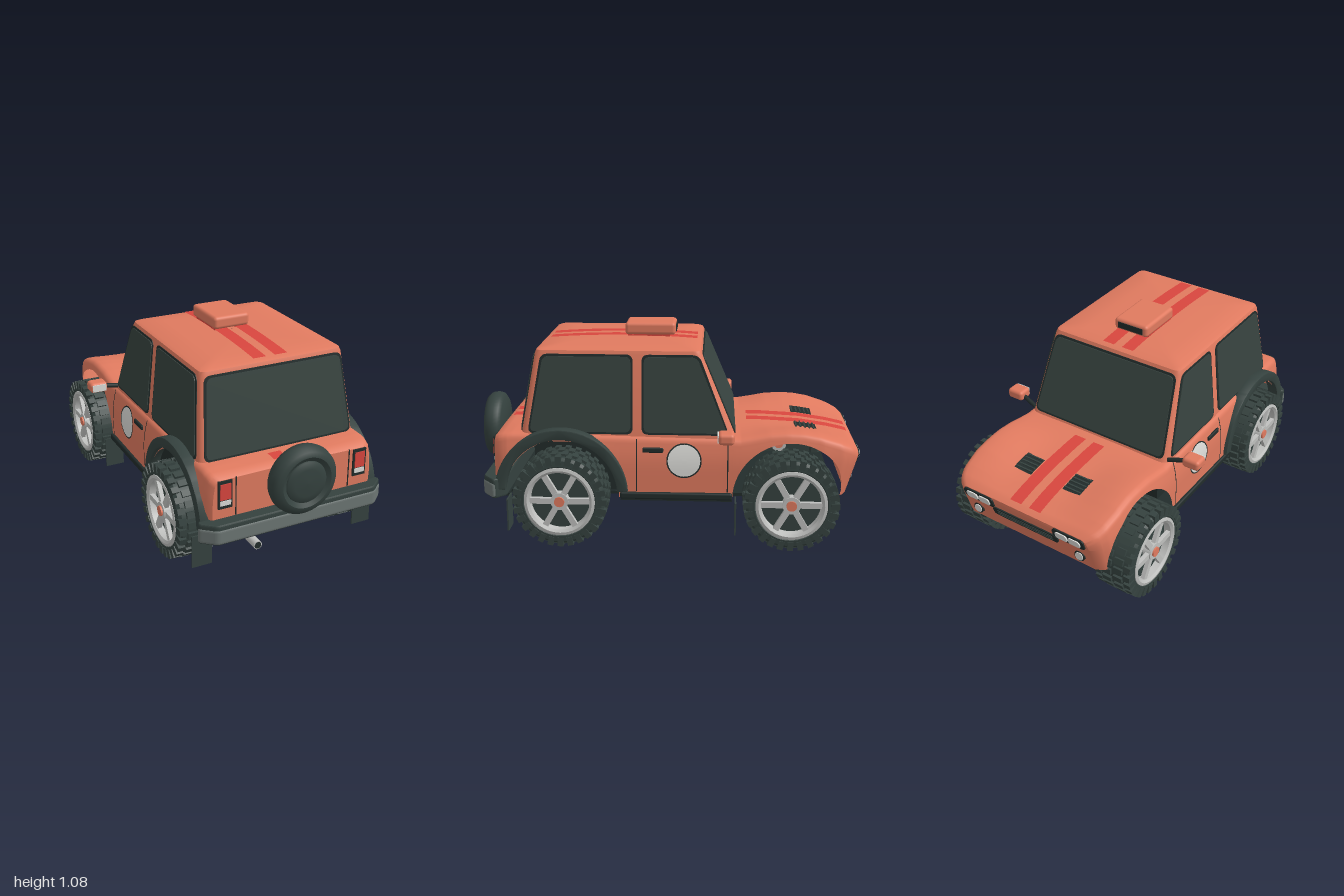
import * as THREE from 'three';
import { mergeGeometries, toCreasedNormals } from 'three/addons/utils/BufferGeometryUtils.js';
import { RoundedBoxGeometry } from 'three/addons/geometries/RoundedBoxGeometry.js';

const mat = (name, color) => new THREE.MeshStandardMaterial({ name, color, side: THREE.DoubleSide });
const paint = mat('coral paint', 0xe07a5f), red = mat('red stripe', 0xd8463e), glass = mat('dark glass', 0x37433f),
  rubber = mat('rubber', 0x35423f), black = mat('black trim', 0x222c2b), white = mat('lamp white', 0xdcdcd8),
  silver = mat('silver', 0xbfc0be), grey = mat('bumper grey', 0x6c7573);

const clamp = THREE.MathUtils.clamp, lerp = THREE.MathUtils.lerp;
// Piecewise lookup along z, keys in descending order
const table = (t) => (z) => {
  if (z >= t[0][0]) return t[0][1];
  for (let i = 1; i < t.length; i++)
    if (z >= t[i][0]) return lerp(t[i][1], t[i - 1][1], (z - t[i][0]) / (t[i - 1][0] - t[i][0]));
  return t[t.length - 1][1];
};
const shoulder = table([[.87, .545], [.84, .565], [.78, .574], [.7, .575], [-.3, .562], [-.38, .558], [-.45, .57], [-.53, .586],
  [-.62, .593], [-.7, .59], [-.78, .576], [-.88, .545], [-.95, .515], [-.98, .49]]);
const ridge = table([[.87, .548], [.84, .567], [.7, .575], [-.36, .562], [-.5, .562], [-.7, .552], [-.85, .53], [-.95, .508], [-.98, .49]]);
const halfW = table([[.87, .43], [.855, .452], [.8, .466], [.5, .47], [-.3, .462], [-.45, .466], [-.62, .474], [-.8, .468],
  [-.9, .45], [-.95, .425], [-.98, .385]]);
const REAR = .525, FRONT = -.64, ARCH = .295, HUB = .248;
const sideX = (y, z) => halfW(z) * (1 - .06 * clamp((y - .4) / .17, 0, 1) ** 2);
const topY = (x, z) => lerp(ridge(z), shoulder(z), THREE.MathUtils.smoothstep(Math.abs(x), .12, .4));
const noseZ = (y) => -.98 + .3 * Math.max(0, .47 - y);
const archY = (z) => Math.max(.25, ...[REAR, FRONT].map((c) => .25 + Math.sqrt(Math.max(0, ARCH ** 2 - (z - c) ** 2))));

// Skin over rows of points
function skin(rows, closed, crease = .6) {
  const n = rows[0].length, idx = [];
  for (let i = 0; i < rows.length - 1; i++)
    for (let j = 0; j < (closed ? n : n - 1); j++) {
      const a = i * n + j, b = i * n + (j + 1) % n;
      idx.push(a, b, a + n, b, b + n, a + n);
    }
  const g = new THREE.BufferGeometry();
  g.setAttribute('position', new THREE.Float32BufferAttribute(rows.flat(2), 3));
  g.setIndex(idx);
  return toCreasedNormals(g, crease);
}
// Move every vertex by a rule
function bend(geo, rule) {
  const p = geo.attributes.position;
  for (let i = 0; i < p.count; i++) p.setXYZ(i, ...rule(p.getX(i), p.getY(i), p.getZ(i)));
  geo.computeVertexNormals();
  return geo;
}
// Polygon with rounded corners
function rounded(pts, r) {
  const s = new THREE.Shape(), v = pts.map((p) => new THREE.Vector2(...p));
  v.forEach((c, i) => {
    const toward = (q) => q.clone().sub(c).setLength(r).add(c);
    const a = toward(v[(i + v.length - 1) % v.length]), b = toward(v[(i + 1) % v.length]);
    i ? s.lineTo(a.x, a.y) : s.moveTo(a.x, a.y);
    s.quadraticCurveTo(c.x, c.y, b.x, b.y);
  });
  return s;
}
const rect = (x, y, w, h) => [[x - w / 2, y - h / 2], [x + w / 2, y - h / 2], [x + w / 2, y + h / 2], [x - w / 2, y + h / 2]];
const plate = (pts, r, depth, rule) =>
  bend(new THREE.ExtrudeGeometry(rounded(pts, r), { depth, bevelEnabled: false, curveSegments: 5 }), rule);
const grow = (pts, d) => {
  const cx = pts.reduce((a, p) => a + p[0], 0) / pts.length, cy = pts.reduce((a, p) => a + p[1], 0) / pts.length;
  return pts.map(([x, y]) => [x + d * Math.sign(x - cx), y + d * Math.sign(y - cy)]);
};

export function createModel() {
  const car = new THREE.Group();
  car.name = 'offRoadCar';
  const add = (name, geo, m, x = 0, y = 0, z = 0, parent = car) => {
    const mesh = new THREE.Mesh(geo, m);
    mesh.name = name;
    mesh.position.set(x, y, z);
    parent.add(mesh);
    return mesh;
  };
  const box = (w, h, d, r = 0) => (r ? new RoundedBoxGeometry(w, h, d, 3, r) : new THREE.BoxGeometry(w, h, d));

  // Body shell with open wheel arches
  const zs = [];
  for (let i = 0; i <= 74; i++) zs.push(.87 - i * .025);
  for (const c of [REAR, FRONT]) for (let i = 0; i <= 28; i++) zs.push(c + ARCH * Math.cos(Math.PI * i / 28));
  const section = (z) => {
    const r = .035, T = shoulder(z), end = T - r, B = Math.min(archY(z) + (z < -.93 ? .02 : 0), end), half = [];
    for (let i = 0; i <= 8; i++) { const y = lerp(B, end, i / 8); half.push([sideX(y, z), y]); }
    const ex = sideX(end, z);
    for (let i = 1; i <= 4; i++) { const a = i * Math.PI / 8; half.push([ex - r + r * Math.cos(a), end + r * Math.sin(a)]); }
    for (let i = 1; i <= 10; i++) { const x = (ex - r) * (1 - i / 10); half.push([x, topY(x, z)]); }
    const shear = clamp((-z - .78) / .2, 0, 1);
    const right = half.map(([x, y]) => [x, y, z + shear * .3 * Math.max(0, .47 - y)]);
    return [...right, ...right.slice(0, -1).reverse().map(([x, y, w]) => [-x, y, w])];
  };
  const rows = zs.filter((z) => z > -.98).concat(-.98).sort((a, b) => b - a).map(section);
  const flat = (row) => row.map(([, y, z]) => [0, y, z]);
  add('bodyShell', skin([flat(rows[0]), ...rows, flat(rows[rows.length - 1])], false), paint);

  // Cabin
  const ring = (y, w, z0, z1, r) => rounded(rect(0, (z0 + z1) / 2, 2 * w, z1 - z0), r).getPoints(6).slice(0, -1).map(([...p]) => p)
    .map(([x, z]) => [x, y, z]);
  const levels = [[.54, .432, -.37, .738, .05], [.975, .388, -.186, .657, .04], [.993, .382, -.178, .65, .04],
    [1.001, .365, -.16, .632, .04], [1.009, .25, -.08, .53, .04], [1.015, .1, .05, .4, .03], [1.016, .002, .22, .224, .0005]];
  add('cabin', skin(levels.map((l) => ring(...l)), true), paint);
  const up = (y) => (y - .54) / .435;
  const walls = {
    left: (a, b, d) => [lerp(.432, .388, up(b)) + d, b, a],
    right: (a, b, d) => [-lerp(.432, .388, up(b)) - d, b, a],
    back: (a, b, d) => [a, b, lerp(.738, .657, up(b)) + d],
    front: (a, b, d) => [a, b, lerp(-.37, -.186, up(b)) - d],
  };
  const rearPane = [[.685, .585], [.172, .585], [.172, .965], [.612, .965]];
  const doorPane = [[.105, .585], [-.315, .585], [-.16, .965], [.105, .965]];
  const screen = [[-.395, .585], [.395, .585], [.36, .965], [-.36, .965]];
  const panes = [['left', rearPane], ['left', doorPane], ['right', rearPane], ['right', doorPane], ['back', screen], ['front', screen]];
  for (const [wall, pts] of panes) {
    add(wall + 'WindowSeal', plate(grow(pts, .011), .035, .003, walls[wall]), black);
    add(wall + 'Window', plate(pts, .03, .007, walls[wall]), glass);
  }

  // Red stripes and bonnet vents laid on the upper surfaces
  const lay = (x, z0, z1, w, height) => bend(new THREE.PlaneGeometry(w, z1 - z0, 4, 24),
    (a, b) => [x + a, height(x + a, (z0 + z1) / 2 + b), (z0 + z1) / 2 + b]);
  const roofY = (x, z) => 1.02 - .016 * Math.max(Math.abs(z - .23) / .4, 0) ** 2;
  const lift = (x, z) => topY(x, z) + .006;
  for (const s of [-1, 1]) {
    add('roofStripe', lay(s * .058, -.155, .62, .068, roofY), red);
    add('bonnetStripe', lay(s * .058, -.955, -.42, .068, lift), red);
    add('tailStripe', lay(s * .058, .775, .838, .068, lift), red);
    add('bonnetVent', lay(s * .15, -.785, -.67, .105, lift), black);
    for (let i = 0; i < 5; i++) add('ventSlat', box(.1, .008, .008), rubber, s * .15, topY(.15, -.77 + i * .023) + .008, -.77 + i * .023);
  }

  // Roof scoop
  add('roofScoop', box(.2, .065, .265, .018), paint, 0, 1.053, .092);
  add('scoopMouth', box(.15, .032, .006), black, 0, 1.053, -.042);
  for (const s of [-1, 1]) add('scoopFoot', box(.066, .025, .22), red, s * .058, 1.02, .1);

  // Nose: headlamps, grille, fog lamps
  const onNose = (a, b, d) => [a, b, noseZ(b) - d];
  add('grille', plate(rect(0, .4, .4, .055), .024, .008, onNose), black);
  for (let i = -1; i < 2; i++) add('grilleBar', plate(rect(0, .4 + i * .014, .34, .004), .001, .011, onNose), rubber);
  for (const s of [-1, 1]) {
    add('headlampBezel', plate(rect(s * .275, .456, .185, .062), .02, .008, onNose), black);
    for (const k of [-1, 1]) add('headlamp', plate(rect(s * .275 + k * .038, .456, .068, .044), .016, .014, onNose), white);
    const fog = (r, d) => new THREE.CylinderGeometry(r, r, d, 20).rotateX(Math.PI / 2);
    add('fogLampRim', fog(.03, .02), black, s * .315, .348, noseZ(.348));
    add('fogLamp', fog(.023, .028), white, s * .315, .348, noseZ(.348));
  }

  // Tail: lamps, hatch seams, latch, bumper
  for (const s of [-1, 1]) {
    add('tailLampBezel', box(.072, .142, .014), black, s * .368, .472, .872);
    add('tailLamp', box(.055, .082, .014), red, s * .368, .488, .876);
    add('reverseLamp', box(.055, .024, .014), white, s * .368, .43, .876);
    add('hatchSeam', box(.005, .2, .004), black, s * .31, .45, .871);
  }
  add('hatchLatch', box(.02, .02, .02), silver, .17, .455, .875);
  const plan = [[-.5, .865], [-.43, .925], [.43, .925], [.5, .865], [.45, .815], [-.45, .815]];
  const slab = (pts, h) => new THREE.ExtrudeGeometry(rounded(pts, .015),
    { depth: h, bevelThickness: .012, bevelSize: .006, bevelSegments: 3 }).rotateX(Math.PI / 2);
  add('rearBumper', slab(plan, .08), rubber, 0, .335, 0);
  add('bumperStrip', slab(plan.map(([x, z]) => [x * 1.004, z + .004]), .05), grey, 0, .31, 0);

  // Spare wheel
  const disc = (pts) => new THREE.LatheGeometry(pts.map((p) => new THREE.Vector2(...p)), 48).rotateX(Math.PI / 2);
  add('spareTyre', toCreasedNormals(disc([[0, 0], [.15, 0], [.17, .015], [.177, .04], [.172, .07], [.155, .09], [.13, .095], [.108, .082]]), .7),
    rubber, 0, .5, .9);
  add('spareCover', disc([[.108, .078], [.104, .09], [.07, .097], [0, .1]]), rubber, 0, .5, .9);

  // Side fittings
  for (const s of [-1, 1]) {
    const onSide = (geo, z, y, off) => bend(geo, (a, b) => [s * (sideX(y + b, z + a) + off), y + b, z + a]);
    add('doorRoundel', onSide(new THREE.RingGeometry(0, .085, 40, 5), -.1, .45, .007), white);
    add('roundelRim', onSide(new THREE.RingGeometry(.082, .089, 40, 1), -.1, .45, .008), black);
    for (const z of [.14, -.32]) add('doorSeam', onSide(new THREE.PlaneGeometry(.006, .27, 1, 10), z, .42, .003), black);
    add('doorHandle', box(.014, .026, .105, .006), black, s * .463, .503, .057);
    add('sill', box(.03, .036, .57, .01), black, s * .465, .263, -.06);

    // Rear arch flare
    const arc = new THREE.Shape();
    arc.absarc(0, 0, .335, .08, Math.PI - .08, false);
    arc.absarc(0, 0, .293, Math.PI - .08, .08, true);
    const flare = new THREE.ExtrudeGeometry(arc, { depth: .05, bevelThickness: .006, bevelSize: .006, bevelSegments: 2, curveSegments: 32 });
    add('archFlare', toCreasedNormals(flare.translate(0, 0, -.025).rotateY(Math.PI / 2), .6), rubber, s * .457, .266, REAR);

    // Door mirror
    add('mirrorShell', box(.096, .056, .08, .018), paint, s * .555, .602, -.31);
    add('mirrorGlass', box(.076, .038, .006), white, s * .555, .602, -.27);
    const arm = new THREE.LineCurve3(new THREE.Vector3(s * .42, .57, -.335), new THREE.Vector3(s * .52, .595, -.315));
    add('mirrorArm', new THREE.TubeGeometry(arm, 1, .012, 10), black);
    for (const z of [.8, -.362]) add('mudflap', box(.105, .17, .008), rubber, s * .453, .155, z);
  }

  // Underside
  add('floor', box(.72, .016, 1.7), black, 0, .237, -.03);
  add('sideFloor', box(.9, .016, .57), black, 0, .237, -.06);
  add('tailFloor', box(.84, .016, .05), black, 0, .237, .83);
  add('cabinInterior', box(.68, .31, .98), black, 0, .4, .19);
  add('skidPlate', box(.4, .05, .25), silver, 0, .2, -.62);
  add('exhaust', new THREE.CylinderGeometry(.022, .022, .09, 20).rotateX(Math.PI / 2), silver, -.21, .175, .865);
  add('exhaustBore', new THREE.CircleGeometry(.018, 20), black, -.21, .175, .911);

  // Wheels: the outside face points along +x, then turned for the other side
  const tyre = toCreasedNormals(new THREE.LatheGeometry([[.05, -.085], [.17, -.085], [.18, -.1], [.215, -.098], [.228, -.08], [.231, 0],
    [.228, .08], [.215, .095], [.185, .098], [.172, .085], [.165, .05], [.02, .05]].map((p) => new THREE.Vector2(...p)), 56)
    .rotateZ(-Math.PI / 2), .6);
  const blocks = [], spokes = [];
  for (let i = 0; i < 28; i++) {
    const a = i * Math.PI / 14;
    for (const k of [-1, 1]) {
      const turn = a + (k > 0 ? Math.PI / 28 : 0);
      blocks.push(box(.05, .02, .032).translate(k * .032, .232, 0).rotateX(turn));
      blocks.push(box(.036, .045, .03).translate(k * .083, .217, 0).rotateX(turn + Math.PI / 28));
    }
  }
  for (let i = 0; i < 6; i++) spokes.push(box(.022, .14, .03).translate(.078, .09, 0).rotateX(i * Math.PI / 3 + Math.PI / 6));
  const tread = mergeGeometries(blocks), spokeSet = mergeGeometries(spokes);
  const rim = toCreasedNormals(new THREE.LatheGeometry([[.15, .055], [.152, .092], [.165, .102], [.18, .098], [.18, .06]]
    .map((p) => new THREE.Vector2(...p)), 48).rotateZ(-Math.PI / 2), .6);
  const cyl = (r, h) => new THREE.CylinderGeometry(r, r, h, 24).rotateZ(Math.PI / 2);
  for (const s of [-1, 1]) for (const z of [REAR, FRONT]) {
    const wheel = new THREE.Group();
    wheel.name = z === REAR ? 'rearWheel' : 'frontWheel';
    wheel.position.set(s * .448, HUB, z);
    if (s < 0) wheel.rotation.y = Math.PI;
    add('tyre', tyre, rubber, 0, 0, 0, wheel);
    add('tread', tread, rubber, 0, 0, 0, wheel);
    add('rim', rim, silver, 0, 0, 0, wheel);
    add('spokes', spokeSet, silver, 0, 0, 0, wheel);
    add('hub', cyl(.045, .05), silver, .07, 0, 0, wheel);
    add('hubCap', cyl(.026, .06), paint, .074, 0, 0, wheel);
    car.add(wheel);
  }
  return car;
}
